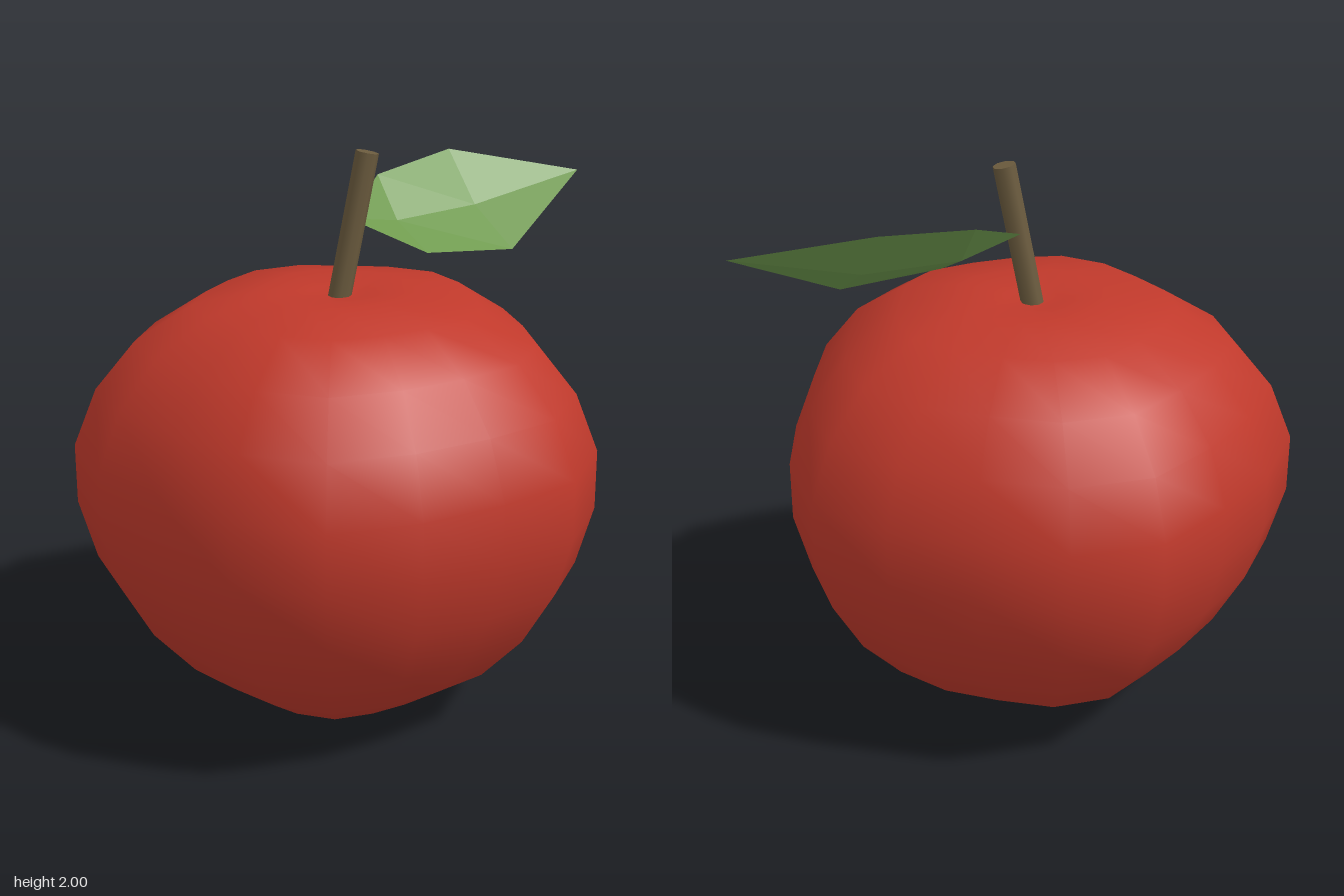
import * as THREE from 'three';
import { mergeVertices } from 'three/addons/utils/BufferGeometryUtils.js';

const material = (color, extra = {}) =>
  Object.assign(new THREE.MeshStandardMaterial({ color }), extra);

function part(name, geometry, mat) {
  const mesh = new THREE.Mesh(geometry, mat);
  mesh.name = name;
  return mesh;
}

// Fruit body: lathed profile with five soft lobes
function bodyGeometry() {
  const profile = [
    [0, 0], [0.21, 0.015], [0.39, 0.08], [0.572, 0.205], [0.721, 0.375],
    [0.832, 0.577], [0.89, 0.79], [0.89, 1.0], [0.812, 1.2], [0.678, 1.365],
    [0.486, 1.487], [0.255, 1.525], [0.1, 1.512], [0, 1.495],
  ].map(([r, y]) => new THREE.Vector2(r, y));
  let geo = new THREE.LatheGeometry(profile, 18, Math.PI / 2);
  const pos = geo.attributes.position;
  for (let i = 0; i < pos.count; i++) {
    const x = pos.getX(i), z = pos.getZ(i);
    const lobe = 1 + 0.04 * Math.cos(5 * Math.atan2(z, x));
    pos.setXYZ(i, x * lobe, pos.getY(i), z * lobe);
  }
  // Weld the seam and poles so the shading is smooth all round
  geo.deleteAttribute('uv');
  geo.deleteAttribute('normal');
  geo = mergeVertices(geo, 1e-4);
  geo.computeVertexNormals();
  return geo;
}

// Leaf: cross-sections of back edge, midrib and front edge between two points
function leafGeometry() {
  const base = [-0.04, 1.76, 0.0], tip = [0.95, 1.815, 0.245];
  const sections = [
    [base, base, base],
    [[0.22, 1.86, -0.1], [0.2, 1.715, 0.01], [0.17, 1.63, 0.175]],
    [[0.58, 1.905, -0.07], [0.55, 1.725, 0.08], [0.51, 1.6, 0.285]],
    [tip, tip, tip],
  ];
  const verts = [];
  const tri = (a, b, c) => {
    if (a !== b && b !== c && a !== c) verts.push(...a, ...b, ...c);
  };
  for (let i = 0; i < 3; i++) {
    for (let j = 0; j < 2; j++) {
      const a = sections[i][j], b = sections[i][j + 1];
      const c = sections[i + 1][j + 1], d = sections[i + 1][j];
      tri(a, b, c);
      tri(a, c, d);
    }
  }
  const geo = new THREE.BufferGeometry();
  geo.setAttribute('position', new THREE.Float32BufferAttribute(verts, 3));
  geo.computeVertexNormals();
  return geo;
}

export function createModel() {
  const group = new THREE.Group();
  group.name = 'apple';

  const body = part('body', bodyGeometry(), material(0xc0392b));
  body.position.x = -0.095;
  group.add(body);

  // Leaning stem
  const from = new THREE.Vector3(-0.1, 1.46, 0.0);
  const to = new THREE.Vector3(-0.015, 1.993, 0.06);
  const axis = to.clone().sub(from);
  const stem = part('stem',
    new THREE.CylinderGeometry(0.04, 0.04, axis.length(), 8), material(0x6b5b3e));
  stem.position.copy(from).addScaledVector(axis, 0.5);
  stem.quaternion.setFromUnitVectors(new THREE.Vector3(0, 1, 0), axis.normalize());
  group.add(stem);

  group.add(part('leaf', leafGeometry(),
    material(0x6f9a4e, { side: THREE.DoubleSide, flatShading: true })));
  return group;
}
